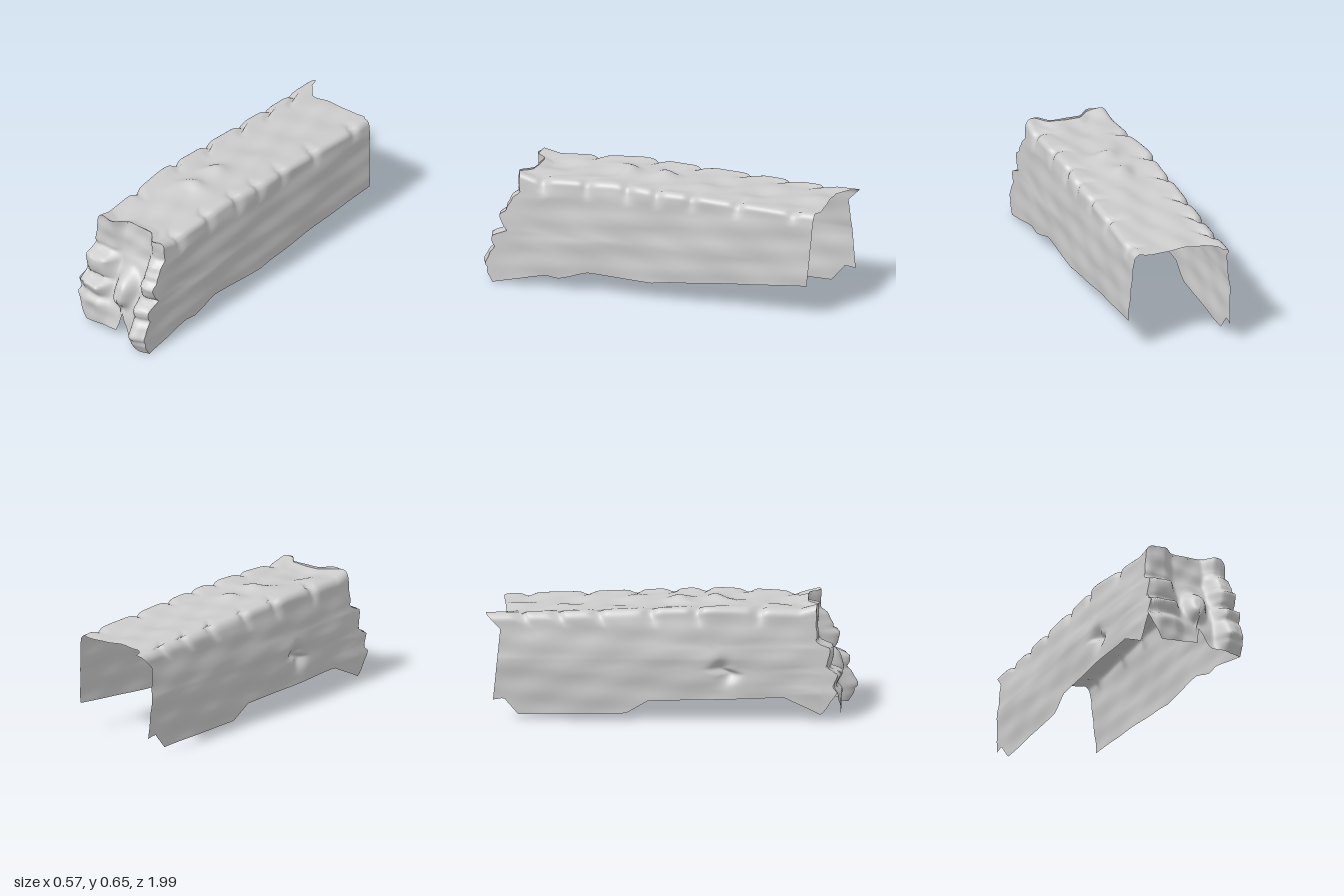
import * as THREE from 'three';

const { lerp, clamp, smoothstep } = THREE.MathUtils;

// Piecewise linear lookup through [key, value] pairs with rising keys
function at(table, k) {
  if (k <= table[0][0]) return table[0][1];
  for (let i = 1; i < table.length; i++) {
    const [k0, v0] = table[i - 1], [k1, v1] = table[i];
    if (k <= k1) return lerp(v0, v1, (k - k0) / (k1 - k0));
  }
  return table[table.length - 1][1];
}

// Soft unevenness of the masonry
const rough = (a, b) =>
  Math.sin(a * 13 + b * 7 + 1) * 0.5 + Math.sin(a * 23 - b * 17 + 2) * 0.3 + Math.sin(a * 5 + b * 31) * 0.3;

// 1 in the joint between two stones, 0 on the stones
const joint = (joints, v, width) =>
  joints.reduce((m, j) => Math.max(m, Math.exp(-(((v - j) / width) ** 2))), 0);

// Round hump, and a fuller one with steep sides
const bump = (a, b, ra, rb) => Math.exp(-((a / ra) ** 2) - (b / rb) ** 2);
const boss = (a, b, ra, rb) => Math.exp(-(((a / ra) ** 2 + (b / rb) ** 2) ** 2));

// Ragged lower edges of the long walls, y by z
const LEFT_FOOT = [[-0.87, 0.18], [-0.1, 0.11], [0, 0.095], [0.36, 0.11], [0.53, 0.06], [0.6, 0.07], [0.93, 0]];
const RIGHT_FOOT = [[-0.96, 0.11], [-0.9, 0.12], [-0.82, 0.03], [-0.23, 0.04], [-0.11, 0.11],
  [0.64, 0.13], [0.84, 0.035], [0.93, 0.16]];
// Lower edge of the end wall, y by x
const END_FOOT = [[-0.25, 0.16], [-0.18, 0.02], [0.04, 0.04], [0.05, 0.145], [0.115, 0.03], [0.22, 0], [0.28, 0]];
// Crown height by z
const CROWN = [[-0.9, 0.58], [-0.5, 0.595], [0, 0.615], [0.25, 0.625], [0.5, 0.615], [0.7, 0.605], [0.8, 0.63]];
// Wall positions, x by y; the right wall spreads behind the end wall
const RIGHT_FRONT = [[0.15, -0.255], [0.2, -0.243], [0.6, -0.21]];
const RIGHT_REAR = [[0.03, -0.265], [0.34, -0.278], [0.58, -0.25]];
const LEFT_WALL = [[0, 0.282], [0.3, 0.278], [0.5, 0.266], [0.62, 0.258]];
// Stepped courses of the end wall, z by y
const END_RIGHT = [[0.03, 0.91], [0.17, 0.92], [0.2, 0.9], [0.26, 0.92], [0.29, 0.86], [0.4, 0.87], [0.44, 0.79], [0.6, 0.79]];
const END_MIDDLE = [[0, 0.91], [0.15, 0.88], [0.3, 0.82], [0.45, 0.76], [0.62, 0.73]];
const END_LEFT = [[0, 0.935], [0.09, 0.995], [0.18, 0.95], [0.26, 0.95], [0.3, 0.88], [0.39, 0.9], [0.46, 0.84],
  [0.55, 0.79], [0.62, 0.79]];
// Open rear edges
const REAR_RIGHT = [[0.1, -0.96], [0.5, -0.92], [0.58, -1]];
const REAR_LEFT = [[0.18, -0.87], [0.57, -0.9]];
const REAR_TOP = [[-0.245, -1], [-0.14, -0.89], [0.2, -0.915], [0.25, -0.9]];
// Joints between the edge stones
const JOINTS_RIGHT = [-0.8, -0.6, -0.38, -0.1, 0.15, 0.48];
const JOINTS_LEFT = [-0.78, -0.46, -0.2, 0, 0.17, 0.4, 0.65];
const COURSES_RIGHT = [0.18, 0.28, 0.42];
const COURSES_LEFT = [0.08, 0.2, 0.3, 0.41, 0.52];

// End wall surface: corner stones either side of a recessed middle
function endZ(x, y) {
  const r = 1 - smoothstep(x, -0.11, -0.03), l = smoothstep(x, 0.13, 0.2);
  let z = at(END_MIDDLE, y) * (1 - r - l) + at(END_RIGHT, y) * r + at(END_LEFT, y) * l;
  z += 0.08 * boss(x - 0.045, y - 0.28, 0.06, 0.09);
  z -= 0.02 * (r * joint(COURSES_RIGHT, y, 0.018) + l * joint(COURSES_LEFT, y, 0.018));
  z -= 0.02 * smoothstep(Math.abs(x - 0.015), 0.2, 0.265);
  return z + 0.007 * rough(x * 2, y * 2);
}

const WALL = 50, ARC = 6, TOP = 28;   // steps around the arch
const SIDE = WALL + ARC;
const AROUND = 2 * SIDE + TOP;

// Wall point k steps up from the foot, on side -1 or +1; s runs from end wall to rear
function wallPoint(side, k, s) {
  const left = side > 0;
  const z0 = lerp(0.93, left ? -0.87 : -0.96, s);
  const zTop = lerp(0.79, left ? -0.9 : -0.98, s);
  const gap = joint(left ? JOINTS_LEFT : JOINTS_RIGHT, zTop, 0.03);
  const foot = at(left ? LEFT_FOOT : RIGHT_FOOT, z0);
  const crown = at(CROWN, zTop) - 0.015 * gap;
  const r = left ? 0.03 : 0.04;
  const a = clamp((k - WALL) / ARC, 0, 1) * Math.PI / 2;
  const y = k <= WALL ? lerp(foot, crown - r, k / WALL) : crown - r + r * Math.sin(a);
  let x = left ? at(LEFT_WALL, y) : lerp(at(RIGHT_FRONT, y), at(RIGHT_REAR, y), Math.min(1, s * 3));
  x -= side * (r * (1 - Math.cos(a)) + 0.02 * gap * smoothstep(y, 0.5, 0.6));
  x += 0.006 * rough(z0 * 0.7, y * 1.5) * Math.min(1, s * 10);
  if (!left) x += 0.04 * bump(z0 - 0.33, y - 0.27, 0.05, 0.06);
  const rear = at(left ? REAR_LEFT : REAR_RIGHT, y);
  return new THREE.Vector3(x, y, lerp(endZ(x, y), rear, s));
}

// Crown point between the two wall heads; joints fade out towards the middle
function crownPoint(t, s) {
  const p = wallPoint(-1, SIDE, s).lerp(wallPoint(1, SIDE, s), t);
  if (t === 0 || t === 1) return p;
  const z = lerp(0.76, -0.9, s), mid = Math.sin(Math.PI * t);
  p.y = lerp(p.y, at(CROWN, z) - 0.006, smoothstep(mid, 0, 0.6));
  p.y += mid * (0.011 * rough(p.x * 1.6, z * 0.9)
    + 0.025 * bump(p.x, z - 0.25, 0.06, 0.05) + 0.02 * bump(p.x + 0.03, z - 0.05, 0.06, 0.05));
  p.z = lerp(endZ(p.x, p.y), at(REAR_TOP, p.x), s);
  return p;
}

function archPoint(j, s) {
  if (j <= SIDE) return wallPoint(-1, j, s);
  if (j < SIDE + TOP) return crownPoint((j - SIDE) / TOP, s);
  return wallPoint(1, AROUND - j, s);
}

// End wall point between matching points of the two long walls
function endPoint(i, k, columns) {
  const t = i / columns, v = k / SIDE;
  if (k === SIDE) return crownPoint(t, 0);
  const p = wallPoint(-1, k, 0).lerp(wallPoint(1, k, 0), t);
  if (i > 0 && i < columns) {
    p.y += (1 - v) ** 2.5 * (at(END_FOOT, p.x) - lerp(0.16, 0, t));
    p.z = endZ(p.x, p.y);
  }
  return p;
}

// Surface from a grid of points
function surface(name, nu, nv, point) {
  const positions = [], index = [];
  for (let v = 0; v <= nv; v++) for (let u = 0; u <= nu; u++) positions.push(...point(u, v).toArray());
  for (let v = 0; v < nv; v++) for (let u = 0; u < nu; u++) {
    const a = v * (nu + 1) + u, b = a + nu + 1;
    index.push(a, a + 1, b, a + 1, b + 1, b);
  }
  const geometry = new THREE.BufferGeometry();
  geometry.setAttribute('position', new THREE.Float32BufferAttribute(positions, 3));
  geometry.setIndex(index);
  geometry.computeVertexNormals();
  const material = new THREE.MeshStandardMaterial({ color: 0xcccccc, side: THREE.DoubleSide });
  const mesh = new THREE.Mesh(geometry, material);
  mesh.name = name;
  return mesh;
}

export function createModel() {
  const group = new THREE.Group();
  group.name = 'stoneWall';
  const length = 120, columns = 56;
  // Long walls and crown, open below and at the rear
  group.add(surface('wallsAndCrown', AROUND, length, (j, i) => archPoint(j, i / length)));
  // Stepped end of the wall
  group.add(surface('endWall', columns, SIDE, (i, k) => endPoint(i, k, columns)));
  return group;
}
